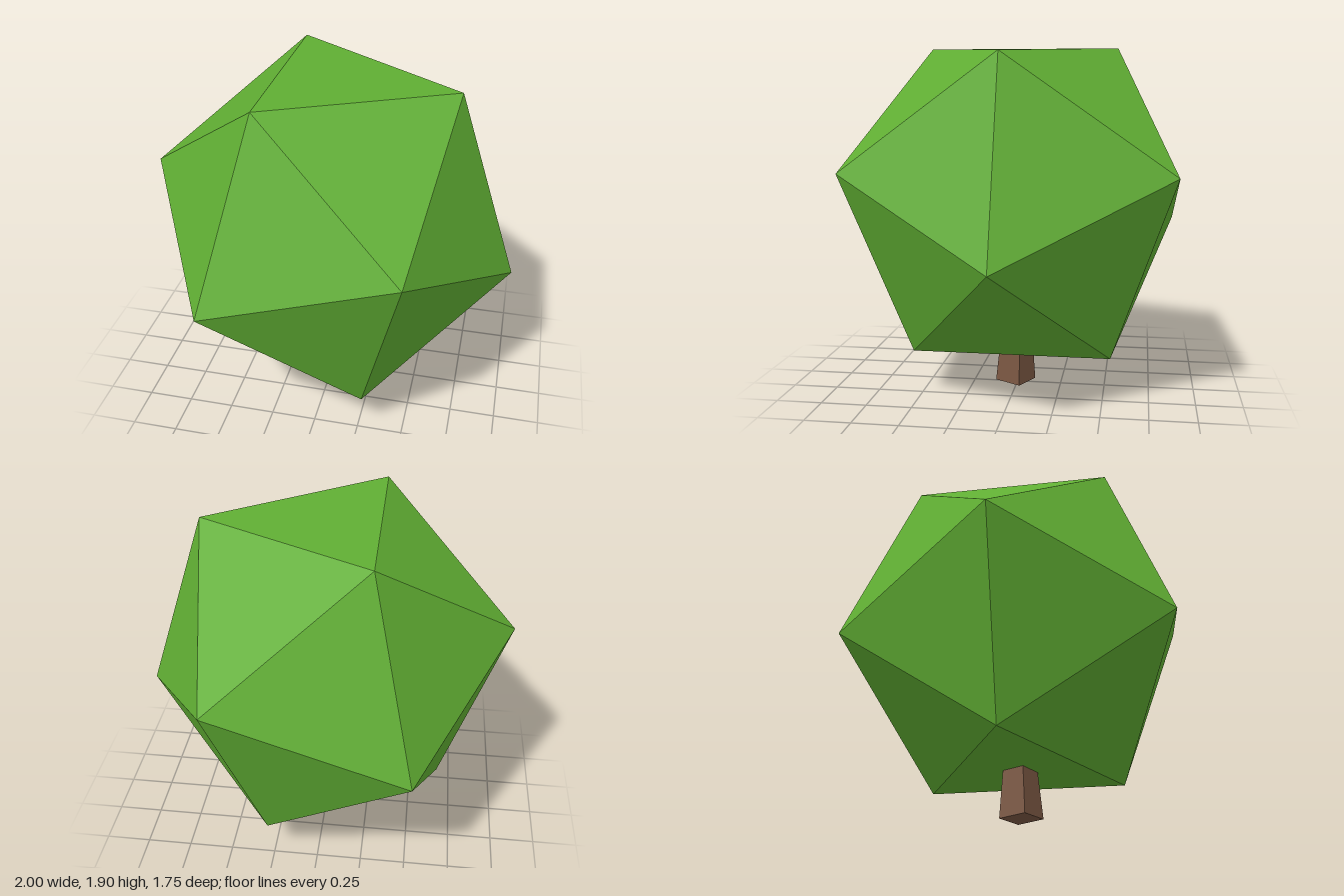
import * as THREE from 'three';

function material(name, color) {
  const m = new THREE.MeshStandardMaterial({ color, flatShading: true });
  m.name = name;
  return m;
}

export function createModel() {
  const tree = new THREE.Group();
  tree.name = 'tree';
  const leafGreen = material('leafGreen', 0x60ae33);
  const barkBrown = material('barkBrown', 0x7a5742);

  // Faceted crown, turned about z so one edge lies on top
  const crown = new THREE.Mesh(new THREE.IcosahedronGeometry(1.028, 0), leafGreen);
  crown.name = 'foliage';
  crown.rotation.z = THREE.MathUtils.degToRad(-71.6);
  crown.position.y = 1.075;
  tree.add(crown);

  // Four-sided tapered trunk, base at the origin, leaning slightly
  const height = 0.6;
  const trunkShape = new THREE.CylinderGeometry(0.062, 0.1155, height, 4);
  trunkShape.rotateY(0.31);
  trunkShape.translate(0, height / 2, 0);
  const trunk = new THREE.Mesh(trunkShape, barkBrown);
  trunk.name = 'trunk';
  trunk.rotation.set(-0.025, 0, -0.02);
  trunk.position.set(-0.03, 0.004, 0.015);
  tree.add(trunk);

  return tree;
}
